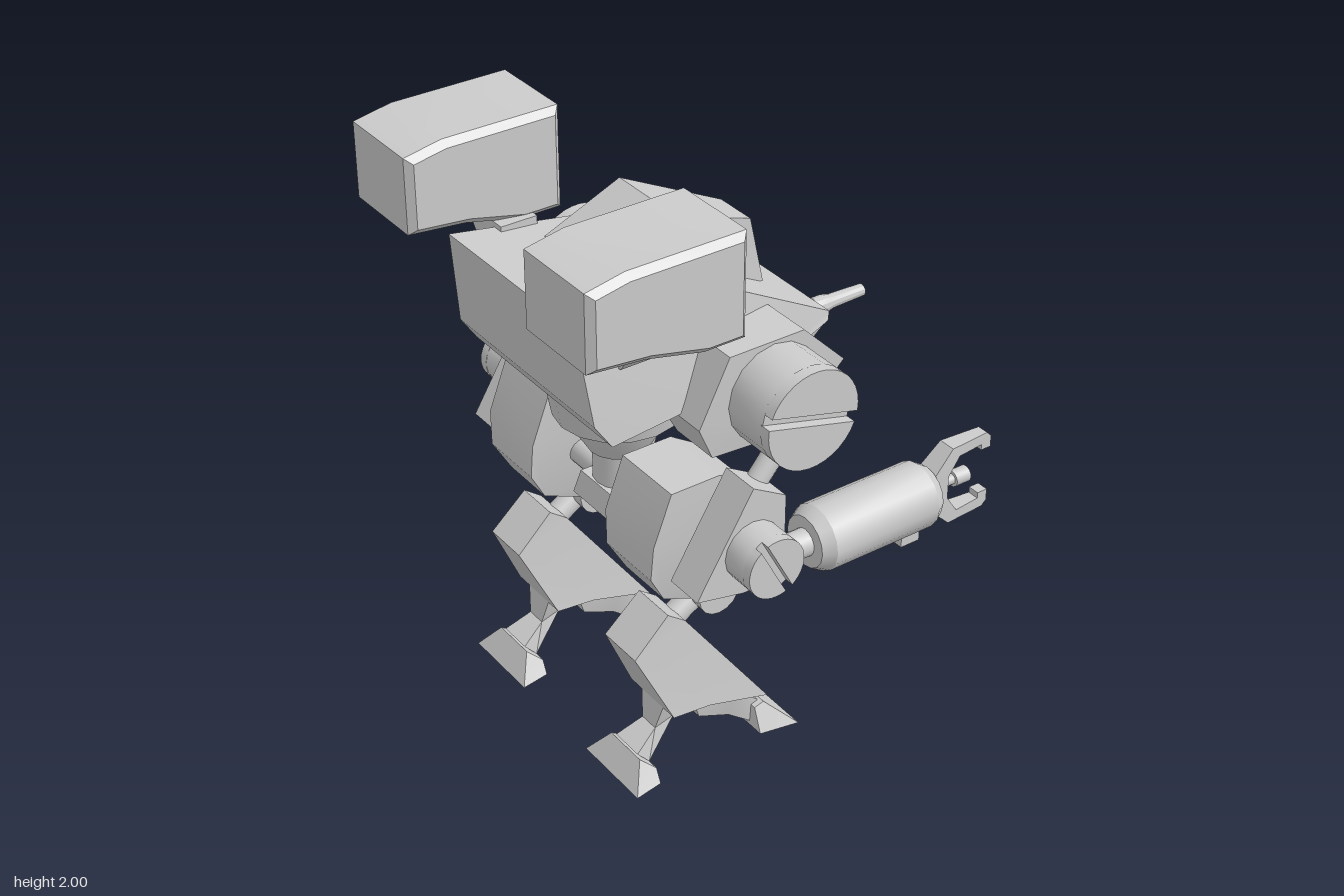
import * as THREE from 'three';
import { toCreasedNormals } from 'three/addons/utils/BufferGeometryUtils.js';

const material = new THREE.MeshStandardMaterial({ color: 0xcccccc });
const V = (x, y, z) => new THREE.Vector3(x, y, z);

// Solid from a side profile of points [z, y, xInner, xOuter], so each corner has its own width
function slab(points) {
  if (THREE.ShapeUtils.area(points.map(p => ({ x: p[0], y: p[1] }))) < 0) points = points.slice().reverse();
  const a = points.map(p => V(p[2], p[1], p[0]));
  const b = points.map(p => V(p[3], p[1], p[0]));
  const tris = [];
  const outline = points.map(p => new THREE.Vector2(p[0], p[1]));
  for (const [i, j, k] of THREE.ShapeUtils.triangulateShape(outline, [])) {
    tris.push(a[i], a[j], a[k], b[i], b[k], b[j]);
  }
  a.forEach((_, i) => {
    const j = (i + 1) % a.length;
    tris.push(a[i], b[i], b[j], a[i], b[j], a[j]);
  });
  const geo = new THREE.BufferGeometry().setFromPoints(tris);
  geo.computeVertexNormals();
  return geo;
}
// Profile points [z, y, halfWidth] centred on x = cx
const centred = (points, cx = 0) => slab(points.map(([z, y, w]) => [z, y, cx - w, cx + w]));
// Profile points [z, y] of constant width
const flat = (points, x0, x1) => slab(points.map(([z, y]) => [z, y, x0, x1]));

// Side profile extruded across x with chamfered edges
function bevelled(points, x0, x1, bevel) {
  const shape = new THREE.Shape(points.map(p => new THREE.Vector2(p[0], p[1])));
  const geo = new THREE.ExtrudeGeometry(shape, {
    depth: x1 - x0 - 2 * bevel, bevelThickness: bevel, bevelSize: bevel, bevelOffset: -bevel, bevelSegments: 1,
  });
  return geo.rotateY(-Math.PI / 2).translate(x1 - bevel, 0, 0);
}

// Cylinder between two points
function rod(from, to, r0, r1 = r0, sides = 16) {
  const dir = to.clone().sub(from);
  const geo = new THREE.CylinderGeometry(r1, r0, dir.length(), sides);
  geo.applyQuaternion(new THREE.Quaternion().setFromUnitVectors(V(0, 1, 0), dir.normalize()));
  const mid = from.clone().add(to).multiplyScalar(0.5);
  return geo.translate(mid.x, mid.y, mid.z);
}

// Turned part along -z, points [radius, distance]
const turned = (points, sides, x, y, z) => new THREE.LatheGeometry(points.map(p => new THREE.Vector2(...p)), sides)
  .rotateX(-Math.PI / 2).translate(x, y, z);

// Two disc segments that leave a slot across the end of a joint
function slotHalves(r, gap, depth, angle, x, y, z) {
  const start = Math.asin(gap / r);
  return [0, Math.PI].map(turn => {
    const shape = new THREE.Shape().absarc(0, 0, r, start, Math.PI - start, false);
    return new THREE.ExtrudeGeometry(shape, { depth, bevelEnabled: false, curveSegments: 8 })
      .rotateZ(angle + turn).rotateY(Math.PI / 2).translate(x, y, z);
  });
}

export function createModel() {
  const model = new THREE.Group();

  function add(name, geo) {
    const mesh = new THREE.Mesh(toCreasedNormals(geo, 0.45), material);
    mesh.name = name;
    model.add(mesh);
  }
  // Left part plus its mirror image with the winding turned back
  function pair(name, geo) {
    add('left' + name, geo);
    const copy = geo.index ? geo.toNonIndexed() : geo.clone();
    copy.scale(-1, 1, 1);
    const p = copy.attributes.position, v = V(0, 0, 0), w = V(0, 0, 0);
    for (let i = 0; i < p.count; i += 3) {
      v.fromBufferAttribute(p, i + 1);
      w.fromBufferAttribute(p, i + 2);
      p.setXYZ(i + 1, w.x, w.y, w.z);
      p.setXYZ(i + 2, v.x, v.y, v.z);
    }
    add('right' + name, copy);
  }

  // Torso, raised back and chin
  add('torso', centred([
    [0.59, 1.676, 0.34], [0.1, 1.634, 0.265], [-0.414, 1.342, 0.225], [-0.403, 1.316, 0.235],
    [-0.15, 1.24, 0.27], [0.2, 1.25, 0.32], [0.493, 1.268, 0.375], [0.55, 1.353, 0.37],
  ]));
  add('backHump', centred([
    [0.35, 1.66, 0.19], [0.106, 1.8, 0.15], [-0.217, 1.66, 0.075], [-0.265, 1.43, 0.08], [0.1, 1.55, 0.19],
  ]));
  add('chin', centred([
    [0.1, 1.28, 0.2], [-0.25, 1.34, 0.18], [-0.4, 1.3, 0.15], [-0.51, 1.225, 0.105], [-0.37, 1.11, 0.11], [-0.02, 1.19, 0.18],
  ]));
  add('gunBarrel', turned([
    [0, 0], [0.022, 0], [0.022, 0.05], [0.032, 0.06], [0.032, 0.1], [0.025, 0.13], [0.021, 0.26], [0, 0.26],
  ], 12, 0, 1.205, -0.47));

  // Waist, pelvis and hip bars
  add('waist', new THREE.LatheGeometry([[0, 0.98], [0.1, 0.98], [0.16, 1.08], [0.17, 1.11], [0.205, 1.11], [0.236, 1.28], [0, 1.28]]
    .map(p => new THREE.Vector2(...p)), 16).translate(0, 0, 0.224));
  add('pelvisColumn', rod(V(0, 0.8, 0.21), V(0, 1.05, 0.21), 0.095));
  add('pelvisFoot', centred([
    [0.31, 0.86, 0.085], [0.33, 0.78, 0.1], [0.3, 0.745, 0.12], [0.12, 0.745, 0.12], [0.09, 0.8, 0.1], [0.11, 0.86, 0.085],
  ]));
  add('hipBar', rod(V(-0.25, 0.833, 0.22), V(0.25, 0.833, 0.22), 0.048));
  add('rearHipBar', rod(V(-0.15, 0.9, 0.12), V(0.15, 0.9, 0.12), 0.03));

  // Launcher boxes and brackets
  pair('LauncherBox', bevelled([
    [0.735, 1.724], [0.735, 1.975], [0.605, 2], [0.207, 2], [0.207, 1.66], [0.345, 1.66], [0.54, 1.705],
  ], 0.302, 0.64, 0.022));
  pair('LauncherBracket', slab([
    [0.445, 1.68, 0.28, 0.49], [0.318, 1.68, 0.28, 0.49], [0.318, 1.5, 0.28, 0.35], [0.445, 1.5, 0.28, 0.35],
  ]));

  // Shoulders
  pair('ShoulderBlock', slab([
    [0.225, 1.25, 0.2, 0.43], [0.117, 1.465, 0.2, 0.43], [-0.155, 1.465, 0.2, 0.43], [-0.31, 1.31, 0.2, 0.43],
    [-0.17, 1.17, 0.2, 0.43], [0.02, 1.12, 0.24, 0.42], [0.17, 1.13, 0.24, 0.42],
  ]));
  pair('ShoulderJoint', rod(V(0.42, 1.29, -0.045), V(0.59, 1.29, -0.045), 0.165));
  for (const g of slotHalves(0.165, 0.018, 0.04, -0.26, 0.585, 1.29, -0.045)) pair('ShoulderCap', g);

  // Upper arms and elbows
  pair('UpperArmRod', rod(V(0.525, 1.2, -0.02), V(0.525, 1.03, 0.12), 0.035));
  pair('ElbowPlate', flat([
    [0.37, 0.806], [0.17, 1.135], [0.05, 1.065], [0.05, 0.84], [0.12, 0.77], [0.2, 0.77],
  ], 0.49, 0.625));
  pair('ElbowJoint', rod(V(0.6, 0.918, 0.17), V(0.715, 0.918, 0.17), 0.1));
  for (const g of slotHalves(0.1, 0.013, 0.033, -1.08, 0.712, 0.918, 0.17)) pair('ElbowCap', g);

  // Forearms and claws
  const ax = 0.683, ay = 0.918;
  pair('ForearmNeck', rod(V(ax, ay, 0.1), V(ax, ay, 0), 0.045, 0.045));
  pair('Forearm', turned([
    [0, -0.02], [0.085, -0.02], [0.108, 0.02], [0.108, 0.41], [0.085, 0.445], [0, 0.445],
  ], 16, ax, ay, 0));
  pair('ForearmLug', new THREE.BoxGeometry(0.09, 0.1, 0.07).translate(ax, 0.83, -0.355));
  const finger = [[-0.52, 0.137], [-0.665, 0.137], [-0.682, 0.12], [-0.682, 0.08], [-0.645, 0.08], [-0.645, 0.1], [-0.55, 0.1], [-0.51, 0.04]];
  const claw = [[-0.43, -0.05], [-0.43, 0.05], ...finger, ...finger.map(([z, y]) => [z, -y]).reverse()];
  pair('Claw', centred(claw.map(([z, y]) => [z, y + ay, z < -0.6 ? 0.02 : z < -0.5 ? 0.03 : 0.04]), ax));
  pair('ClawProngStem', rod(V(ax, ay, -0.5), V(ax, ay, -0.56), 0.017));
  pair('ClawProng', rod(V(ax, ay, -0.55), V(ax, ay, -0.605), 0.027));

  // Thighs, knee guards and knees
  const lx = 0.332;
  pair('Thigh', centred([
    [0.345, 1.09, 0.127], [0.41, 0.92, 0.127], [0.414, 0.8, 0.118], [0.355, 0.695, 0.1], [0.207, 0.62, 0.078],
    [0.01, 0.615, 0.078], [-0.09, 0.78, 0.1], [0.02, 0.84, 0.127], [0.06, 1.02, 0.127], [0.17, 1.09, 0.127],
  ], lx));
  pair('KneeGuard', centred([[0.02, 0.66, 0.08], [0.027, 0.565, 0.075], [-0.03, 0.55, 0.075], [-0.09, 0.78, 0.1], [-0.03, 0.79, 0.1]], lx));
  pair('Knee', rod(V(lx - 0.078, 0.605, 0.13), V(lx + 0.078, 0.605, 0.13), 0.075));
  pair('KneeLink', rod(V(lx, 0.6, 0.13), V(lx, 0.5, 0.29), 0.04));

  // Shins, struts and toes
  pair('Shin', centred([
    [0.324, 0.605, 0.078], [0.45, 0.488, 0.082], [0.33, 0.23, 0.118], [0.19, 0.215, 0.118], [-0.035, 0.15, 0.118], [0.26, 0.557, 0.078],
  ], lx));
  pair('FrontStrut', centred([
    [0.33, 0.235, 0.06], [0.19, 0.22, 0.06], [0.285, 0.175, 0.05], [0.31, 0.13, 0.035], [0.385, 0.04, 0.06], [0.43, 0.09, 0.06], [0.345, 0.14, 0.035],
  ], lx));
  pair('RearStrut', centred([
    [0.22, 0.22, 0.06], [0.185, 0.12, 0.05], [0.06, 0.06, 0.04], [-0.01, 0.015, 0.06], [-0.04, 0.09, 0.06], [0.05, 0.165, 0.06],
  ], lx));
  pair('FrontToe', centred([[0.49, 0, 0.146], [0.435, 0.085, 0.08], [0.385, 0.04, 0.1], [0.39, 0, 0.13]], lx));
  pair('RearToe', centred([[-0.145, 0, 0.146], [-0.05, 0.09, 0.08], [-0.015, 0.08, 0.08], [-0.01, 0, 0.12]], lx));

  return model;
}
